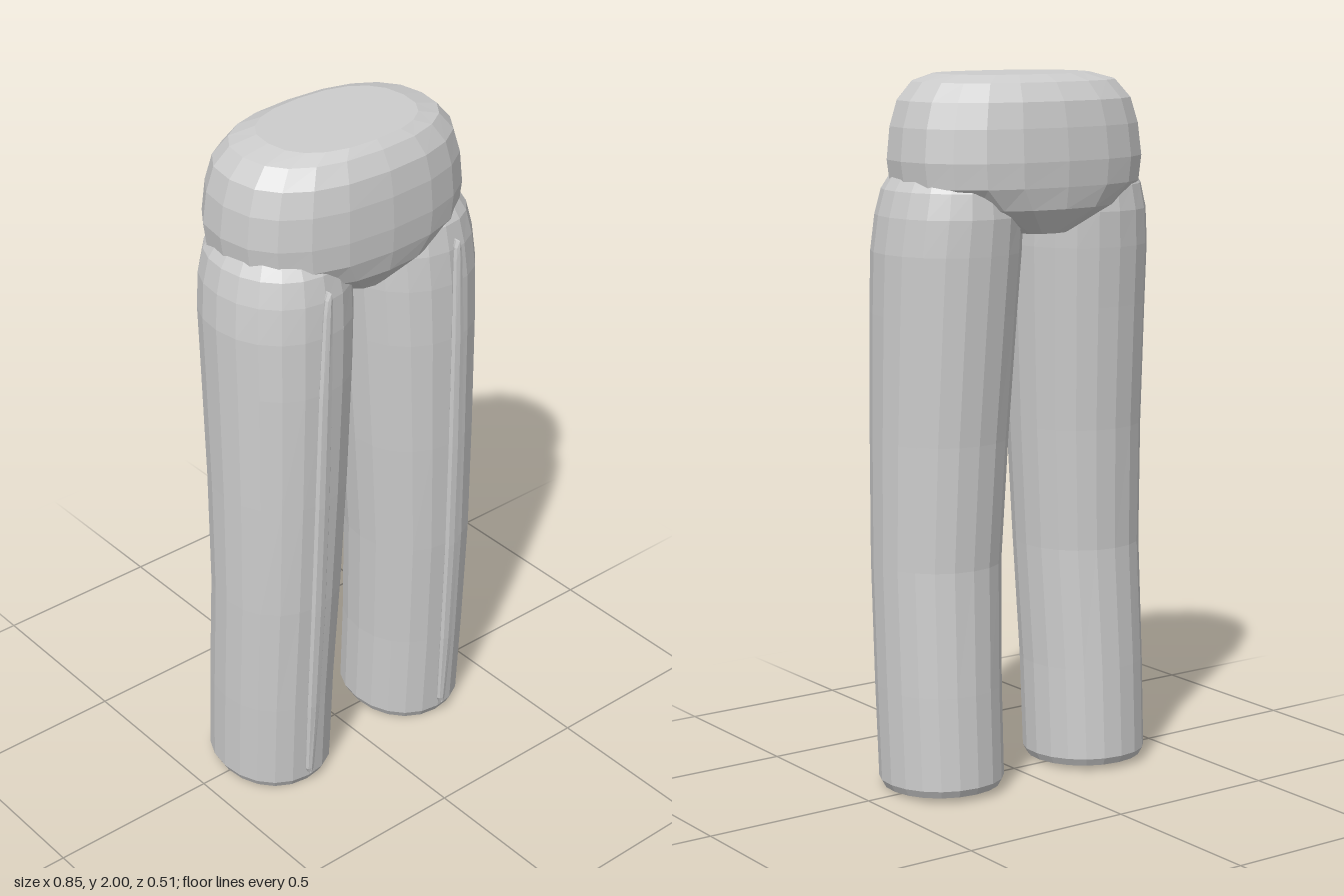
import * as THREE from 'three';

// Skin a stack of rings, listed bottom-up: [y, cx, rx, cz, rz, tilt].
// power 2 gives an ellipse, higher values a boxier oval.
function loft(rings, sides, power, capBottom, capTop) {
  const pos = [], idx = [];
  const bend = (v) => Math.sign(v) * Math.pow(Math.abs(v), 2 / power);
  for (const [y, cx, rx, cz, rz, tilt = 0] of rings) {
    for (let i = 0; i < sides; i++) {
      const a = (i / sides) * Math.PI * 2;
      const z = bend(Math.sin(a));
      pos.push(cx + rx * bend(Math.cos(a)), y - tilt * z, cz + rz * z);
    }
  }
  for (let r = 0; r < rings.length - 1; r++) {
    for (let i = 0; i < sides; i++) {
      const j = (i + 1) % sides;
      const a = r * sides + i, b = r * sides + j;
      idx.push(a, a + sides, b, b, a + sides, b + sides);
    }
  }
  const top = (rings.length - 1) * sides;
  for (let i = 1; i < sides - 1; i++) {
    if (capBottom) idx.push(0, i, i + 1);
    if (capTop) idx.push(top, top + i + 1, top + i);
  }
  const indexed = new THREE.BufferGeometry();
  indexed.setAttribute('position', new THREE.Float32BufferAttribute(pos, 3));
  indexed.setIndex(idx);
  const geometry = indexed.toNonIndexed();
  geometry.computeVertexNormals();
  return geometry;
}

export function createModel() {
  const model = new THREE.Group();
  model.name = 'trousers';
  const cloth = new THREE.MeshStandardMaterial({ color: 0xcccccc, flatShading: true, side: THREE.DoubleSide });
  cloth.name = 'grey cloth';

  const add = (geometry, name) => {
    const mesh = new THREE.Mesh(geometry, cloth);
    mesh.name = name;
    model.add(mesh);
  };

  // Hips: rounded block with a flat top, drawn in towards the crotch
  add(loft([
    [1.57, 0, 0.10, -0.01, 0.18],
    [1.64, 0, 0.28, -0.008, 0.235],
    [1.70, 0, 0.37, -0.006, 0.246],
    [1.77, 0, 0.38, -0.006, 0.249],
    [1.86, 0, 0.37, -0.004, 0.242],
    [1.93, 0, 0.348, -0.003, 0.228],
    [1.98, 0, 0.305, 0, 0.195],
    [2.0, 0, 0.23, 0.01, 0.16],
  ], 20, 2.4, true, true), 'hips');

  // Leg profile: y, inner x, outer x, back z, front z, tilt of the ring
  const legProfile = [
    [0.008, 0.095, 0.41, -0.17, 0.175, 0.008],
    [0.03, 0.083, 0.422, -0.182, 0.187, 0.008],
    [0.3, 0.081, 0.424, -0.17, 0.202],
    [0.65, 0.068, 0.423, -0.152, 0.221],
    [1.0, 0.048, 0.421, -0.165, 0.231],
    [1.35, 0.029, 0.42, -0.188, 0.236],
    [1.52, 0.02, 0.419, -0.2, 0.233],
    [1.62, 0.02, 0.408, -0.205, 0.225],
    [1.69, 0.035, 0.39, -0.195, 0.21],
    [1.73, 0.06, 0.365, -0.17, 0.185],
    [1.77, 0.13, 0.29, -0.09, 0.1],
  ];

  // Front crease path: y, x, z, half width
  const creasePath = [
    [0.04, 0.257, 0.191, 0.004],
    [0.06, 0.257, 0.194, 0.014],
    [0.3, 0.255, 0.212, 0.022],
    [0.65, 0.25, 0.23, 0.025],
    [1.0, 0.243, 0.24, 0.025],
    [1.35, 0.235, 0.245, 0.022],
    [1.6, 0.226, 0.245, 0.015],
    [1.64, 0.224, 0.245, 0.011],
    [1.66, 0.223, 0.244, 0.003],
  ];

  for (const [s, sideName] of [[1, 'left'], [-1, 'right']]) {
    // Leg: open tube with the hem turned slightly inwards
    add(loft(legProfile.map(([y, xi, xo, zb, zf, tilt]) =>
      [y, s * (xi + xo) / 2, (xo - xi) / 2, (zb + zf) / 2, (zf - zb) / 2, tilt]),
    20, 2.1, false, true), sideName + 'Leg');

    // Pressed crease: slender ridge down the front of the leg
    add(loft(creasePath.map(([y, x, z, w]) => [y, s * x, w, z, 0.011]),
      8, 2, true, true), sideName + 'Crease');
  }
  return model;
}
